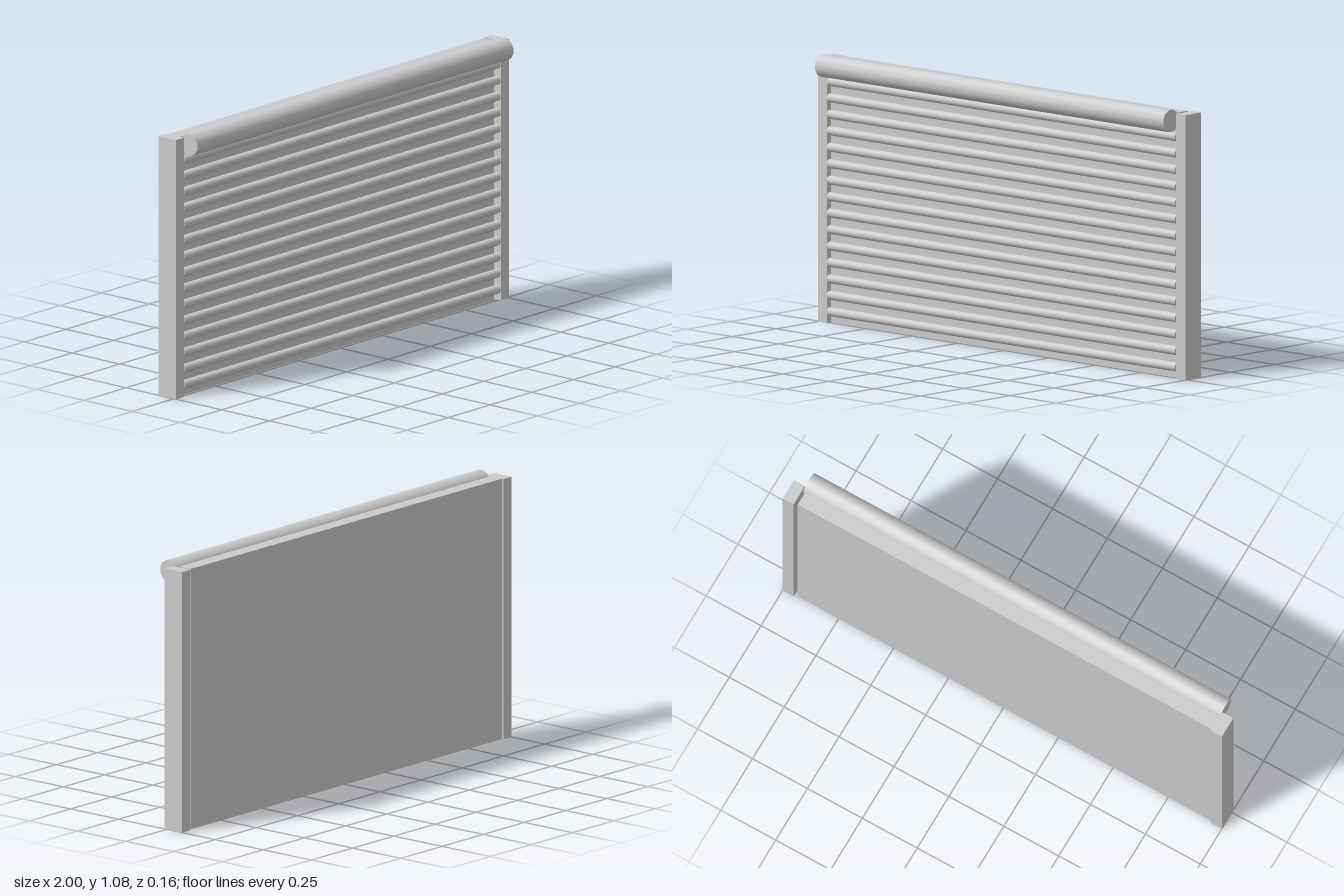
import * as THREE from 'three';

const material = new THREE.MeshStandardMaterial({ color: 0xcccccc });

function add(parent, name, geometry, x, y, z) {
  const mesh = new THREE.Mesh(geometry, material);
  mesh.name = name;
  mesh.position.set(x, y, z);
  parent.add(mesh);
  return mesh;
}

// Twelve-sided rod along x, turned so flats face up and forward
function rod(apothem, length) {
  const sides = 12;
  const radius = apothem / Math.cos(Math.PI / sides);
  return new THREE.CylinderGeometry(radius, radius, length, sides)
    .rotateY(Math.PI / sides)
    .rotateZ(Math.PI / 2);
}

export function createModel() {
  const model = new THREE.Group();
  model.name = 'rollerShutter';
  const height = 1.06;

  // Side guide rails
  for (const side of [-1, 1]) {
    add(model, side < 0 ? 'rightRail' : 'leftRail',
      new THREE.BoxGeometry(0.05, height, 0.09), side * 0.975, height / 2, -0.034);
  }

  // Flat backing panel, stopping just short of the left rail
  add(model, 'shutterPanel', new THREE.BoxGeometry(1.888, height, 0.06), -0.008, height / 2, -0.041);

  // Horizontal ribs, evenly spaced up the panel
  const ribs = new THREE.Group();
  ribs.name = 'ribs';
  model.add(ribs);
  const ribGeometry = rod(0.0175, 1.897);
  for (let i = 0; i < 15; i++) {
    add(ribs, 'rib', ribGeometry, -0.0025, 0.044 + i * 0.0658, -0.004);
  }

  // Roller housing across the top
  add(model, 'topRoller', rod(0.044, 1.897), -0.0025, 1.034, 0.036);

  return model;
}
